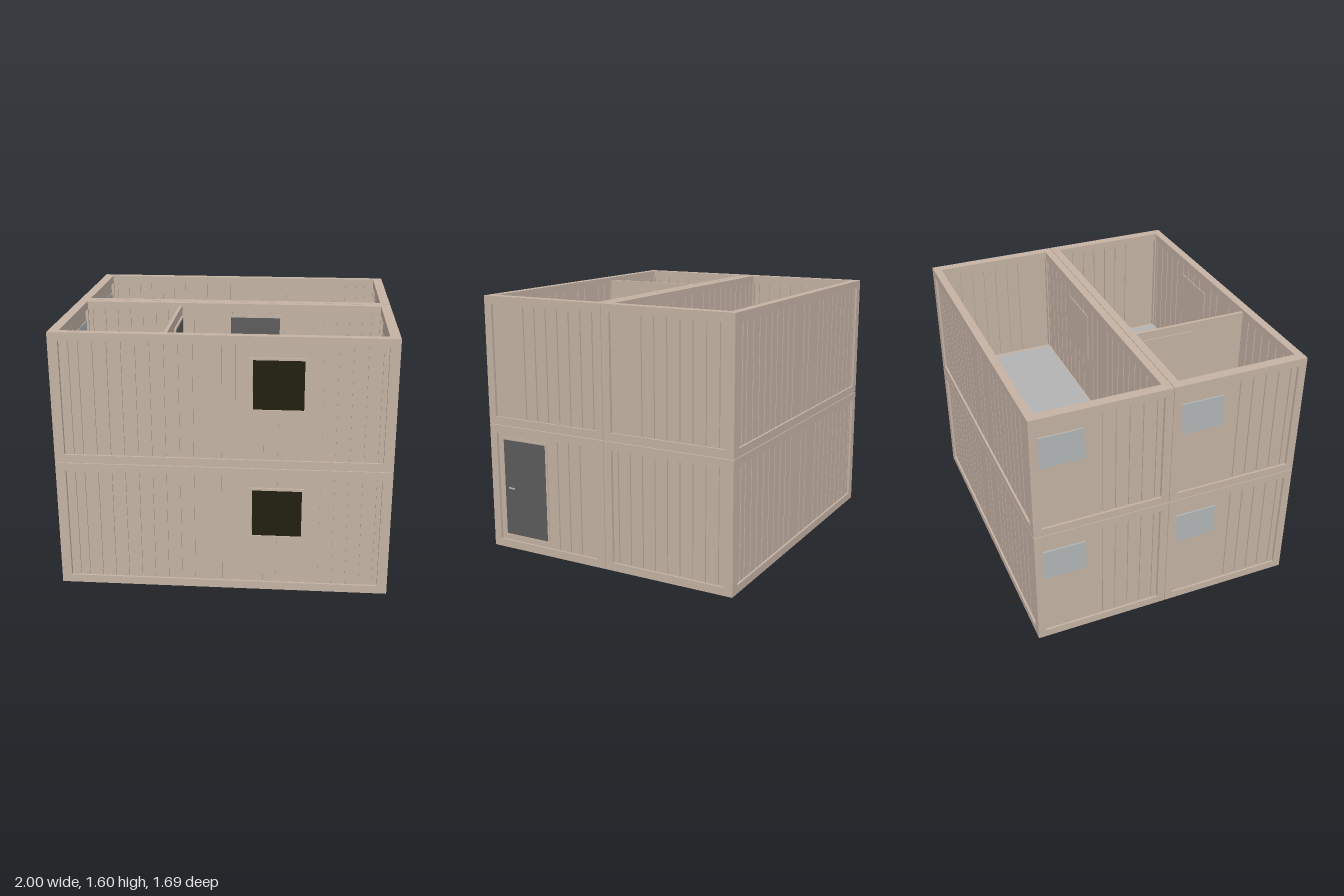
import * as THREE from 'three';

const mat = (name, color, side = THREE.FrontSide) => {
  const m = new THREE.MeshStandardMaterial({ color, side });
  m.name = name;
  return m;
};

const W = 2, H = 0.798, D = 0.843, BEAM = 0.05, POST = 0.06;

export function createModel() {
  const beige = mat('beige steel', 0xc4b2a4);
  const floorGrey = mat('floor grey', 0xb2b2b2);
  const doorGrey = mat('door grey', 0x5c5c5c);
  const glass = mat('dark glass', 0x22200f);
  const paleGlass = mat('pale glass', 0xb2b6b7);
  const steel = mat('sink steel', 0xb4b4b4, THREE.DoubleSide);

  function box(parent, name, m, w, h, d, x, y, z) {
    const mesh = new THREE.Mesh(new THREE.BoxGeometry(w, h, d), m);
    mesh.name = name;
    mesh.position.set(x, y, z);
    parent.add(mesh);
    return mesh;
  }

  function group(parent, name, x = 0, y = 0, z = 0, turn = 0) {
    const g = new THREE.Group();
    g.name = name;
    g.position.set(x, y, z);
    g.rotation.y = turn;
    parent.add(g);
    return g;
  }

  // Four bars round a rectangle in the xy plane
  function border(parent, name, w, h, t, d, z) {
    for (const s of [-1, 1]) {
      box(parent, name, beige, w, t, d, 0, s * (h - t) / 2, z);
      box(parent, name, beige, t, h - 2 * t, d, s * (w - t) / 2, 0, z);
    }
  }

  // Wall of upright boards with narrow grooves; outside faces local +z
  function wall(parent, name, length, grooves, x, z, turn) {
    const g = group(parent, name, x, 0, z, turn);
    const h = H - 2 * BEAM, cy = H / 2, gap = 0.008;
    box(g, 'wallCore', beige, length, h, 0.008, 0, cy, -0.028);
    const half = length / 2;
    const cuts = [-half, ...grooves.filter((u) => Math.abs(u) < half - 0.01).sort((a, b) => a - b), half];
    for (let i = 0; i < cuts.length - 1; i++) {
      const w = cuts[i + 1] - cuts[i] - gap;
      box(g, 'wallBoard', beige, w, h, 0.03, (cuts[i] + cuts[i + 1]) / 2, cy, -0.028);
    }
    return g;
  }

  // Framed square window with a plain inner cover
  function frontWindow(parent, u) {
    const g = group(parent, 'frontWindow', u, 0.51, 0);
    box(g, 'windowCover', beige, 0.325, 0.325, 0.034, 0, 0, -0.031);
    box(g, 'windowPane', glass, 0.295, 0.3, 0.004, 0, 0, -0.012);
    border(g, 'windowFrame', 0.325, 0.325, 0.014, 0.013, -0.0085);
  }

  // Door with frame and lever handle; dark leaf faces local +z
  function door(parent, u, thick, z, handleSide) {
    const g = group(parent, 'door', u, 0.4, z);
    box(g, 'doorCover', beige, 0.33, 0.63, thick, 0, 0, 0);
    box(g, 'doorLeaf', doorGrey, 0.315, 0.615, 0.004, 0, 0, thick / 2 + 0.002);
    border(g, 'doorFrame', 0.345, 0.65, 0.014, thick + 0.004, 0.002);
    box(g, 'handleStem', steel, 0.008, 0.01, 0.012, handleSide * 0.12, 0, thick / 2 + 0.008);
    box(g, 'handleLever', steel, 0.045, 0.008, 0.005, handleSide * 0.1, 0, thick / 2 + 0.013);
  }

  // Evenly spaced groove positions, with some steps left out
  const steps = (from, to, start = 0, skip = []) => {
    const out = [];
    for (let k = from; k <= to; k++) if (!skip.includes(k)) out.push(start + k * 0.0823);
    return out;
  };

  const model = new THREE.Group();
  model.name = 'containerBuilding';

  function container(name, y, z, rightGrooves) {
    const c = group(model, name, 0, y, z);

    // Frame: corner posts, long rails and end rails
    for (const sx of [-1, 1]) {
      for (const sz of [-1, 1]) {
        box(c, 'cornerPost', beige, POST, H, BEAM, sx * (W - POST) / 2, H / 2, sz * (D - BEAM) / 2);
      }
      for (const ry of [BEAM / 2, H - BEAM / 2]) {
        box(c, 'endRail', beige, POST, BEAM, D - 2 * BEAM, sx * (W - POST) / 2, ry, 0);
        box(c, 'longRail', beige, W - 2 * POST, BEAM, BEAM, 0, ry, sx * (D - BEAM) / 2);
      }
    }
    box(c, 'floor', floorGrey, W - 2 * POST, 0.044, D - 2 * BEAM, 0, 0.028, 0);

    // Walls
    const longLen = W - 2 * POST, endLen = D - 2 * BEAM;
    const front = wall(c, 'frontWall', longLen, [-0.88, ...steps(-10, 11, 0, [-1, 2])], 0, D / 2, 0);
    frontWindow(front, 0.325);
    const back = wall(c, 'backWall', longLen, [-0.88, ...steps(-10, 11, 0, [-1, 2])], 0, -D / 2, Math.PI);
    const right = wall(c, 'rightWall', endLen, rightGrooves, W / 2, 0, Math.PI / 2);
    const left = wall(c, 'leftWall', endLen, steps(0, 4), -W / 2, 0, -Math.PI / 2);
    box(left, 'endWindow', paleGlass, 0.266, 0.2, 0.044, -0.237, 0.57, -0.026);
    return { c, back, right };
  }

  const zc = 0.002 + D / 2, upY = 0.802;
  const lowerFront = container('lowerFrontContainer', 0, zc, steps(1, 3));
  container('lowerBackContainer', 0, -zc, [...steps(-4, 4), 0.365]);
  const upperFront = container('upperFrontContainer', upY, zc, steps(0, 6, -0.14));
  container('upperBackContainer', upY, -zc, steps(-2, 4));

  // Entrance door at the right end, and a door in the upper rear wall
  door(lowerFront.right, -0.167, 0.034, -0.028, -1);
  const inner = group(upperFront.c, 'rearWallDoor', 0.145, 0, -D / 2 + 0.026);
  door(inner, 0, 0.034, 0, -1);

  // Partition with its door
  const partition = group(upperFront.c, 'partition', -0.335, 0, 0, Math.PI / 2);
  box(partition, 'partitionWall', beige, D - 2 * BEAM, 0.73, 0.02, 0, 0.415, 0);
  door(partition, 0.155, 0.034, 0, -1);

  // Washbasin on the left wall
  const sink = group(upperFront.c, 'washbasin', -0.94, 0.36, 0.225 - zc);
  const outline = (target, x0, x1, hz, r) => {
    target.moveTo(x0, -hz);
    target.lineTo(x1 - r, -hz);
    target.quadraticCurveTo(x1, -hz, x1, -hz + r);
    target.lineTo(x1, hz - r);
    target.quadraticCurveTo(x1, hz, x1 - r, hz);
    target.lineTo(x0, hz);
    target.closePath();
    return target;
  };
  const rim = outline(new THREE.Shape(), 0, 0.175, 0.093, 0.06);
  rim.holes.push(outline(new THREE.Path(), 0.045, 0.16, 0.075, 0.045));
  const rimGeo = new THREE.ExtrudeGeometry(rim, { depth: 0.07, bevelEnabled: false, curveSegments: 8 });
  rimGeo.rotateX(Math.PI / 2);
  const rimMesh = new THREE.Mesh(rimGeo, steel);
  rimMesh.name = 'basinRim';
  sink.add(rimMesh);
  box(sink, 'basinBottom', steel, 0.14, 0.01, 0.15, 0.09, -0.065, 0);
  const spout = new THREE.CatmullRomCurve3([
    new THREE.Vector3(0.025, 0, 0), new THREE.Vector3(0.025, 0.05, 0),
    new THREE.Vector3(0.05, 0.065, 0), new THREE.Vector3(0.08, 0.045, 0),
  ]);
  const tap = new THREE.Mesh(new THREE.TubeGeometry(spout, 12, 0.007, 8), steel);
  tap.name = 'tap';
  sink.add(tap);
  for (const s of [-1, 1]) {
    const knob = new THREE.Mesh(new THREE.CylinderGeometry(0.01, 0.01, 0.025, 10), steel);
    knob.name = 'tapKnob';
    knob.position.set(0.025, 0.0125, s * 0.025);
    sink.add(knob);
  }

  return model;
}
